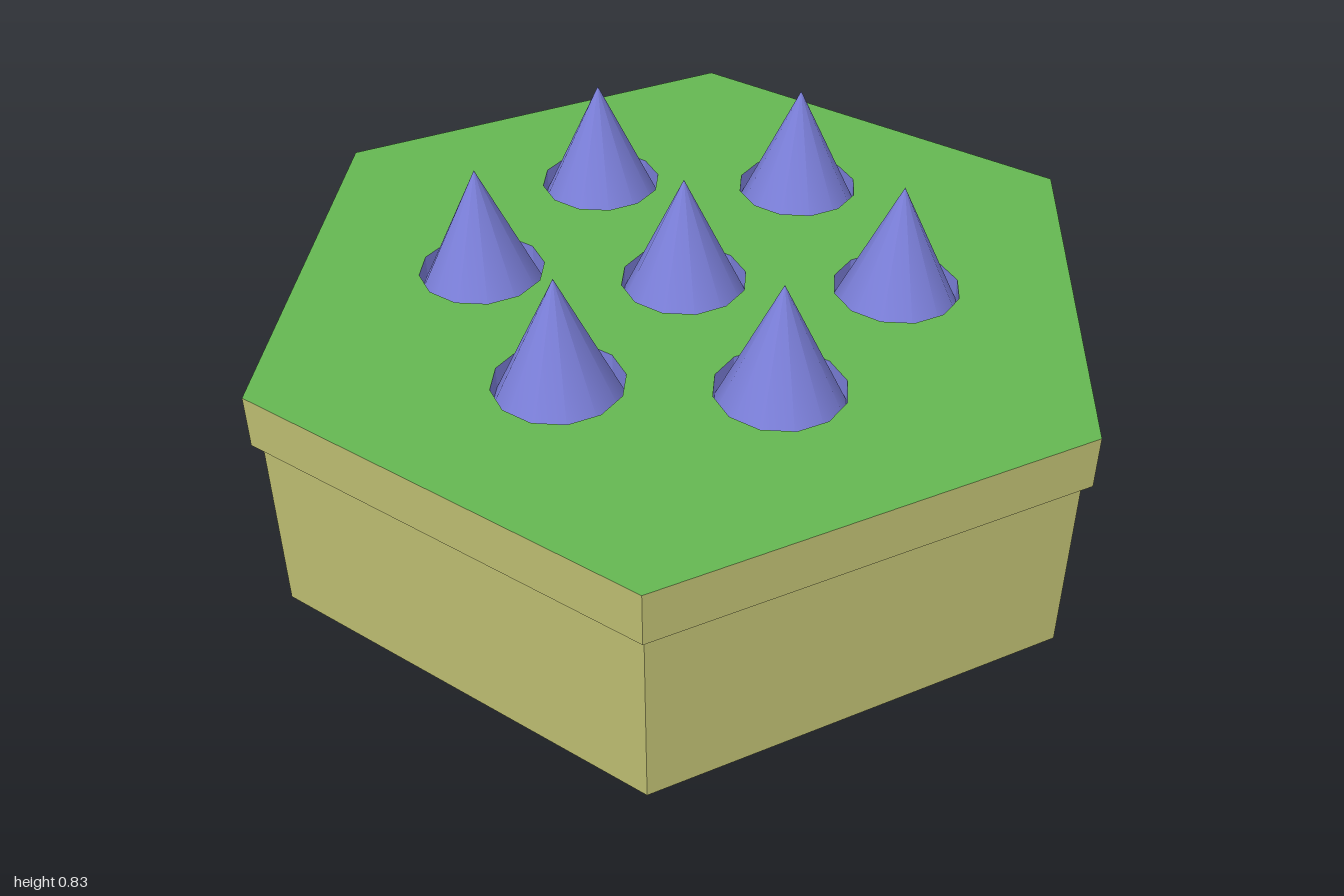
import * as THREE from 'three';

const TOP = 0.575, LEDGE = 0.45, SOCKET = 0.525;
const RIM_R = 1, WALL_R = 0.977, SPIKE_R = 0.142, TIP = 0.832;
const SPIKES = [[0, -0.49], [-0.41, -0.24], [0.41, -0.24], [0, 0], [-0.4, 0.225], [0.39, 0.22], [0, 0.46]];

const material = (color, flatShading = false) =>
  new THREE.MeshStandardMaterial({ color, flatShading, side: THREE.DoubleSide });

function polygon(n, r, cx = 0, cy = 0, start = 0) {
  return Array.from({ length: n }, (_, i) => {
    const a = start + (i / n) * Math.PI * 2;
    return new THREE.Vector2(cx + r * Math.cos(a), cy + r * Math.sin(a));
  });
}

// one flat strip of side i of the hexagon, from (r0, y0) down to (r1, y1)
function sidePanel(i, r0, y0, r1, y1) {
  const at = (k, r, y) => {
    const a = (k * Math.PI) / 3;
    return [r * Math.cos(a), y, r * Math.sin(a)];
  };
  const g = new THREE.BufferGeometry();
  g.setAttribute('position', new THREE.Float32BufferAttribute(
    [at(i, r0, y0), at(i + 1, r0, y0), at(i + 1, r1, y1), at(i, r1, y1)].flat(), 3));
  g.setIndex([0, 1, 2, 0, 2, 3]);
  g.computeVertexNormals();
  return g;
}

export function createModel() {
  const model = new THREE.Group();
  model.name = 'spikedHexTile';
  const olive = material(0xbbbb70, true);
  const grey = material(0xcccccc, true);
  const green = material(0x65b752, true);
  const blue = material(0x7c80db);
  const blueFlat = material(0x7c80db, true);

  const add = (parent, name, geometry, mat) => {
    const mesh = new THREE.Mesh(geometry, mat);
    mesh.name = name;
    parent.add(mesh);
    return mesh;
  };

  // hexagonal rim, ledge and walls; one wall is left grey
  for (let i = 0; i < 6; i++) {
    add(model, 'rim', sidePanel(i, RIM_R, TOP, RIM_R, LEDGE), olive);
    add(model, 'ledge', sidePanel(i, RIM_R, LEDGE, WALL_R, LEDGE), olive);
    add(model, 'wall', sidePanel(i, WALL_R, LEDGE, WALL_R, 0), i === 5 ? grey : olive);
  }

  // thin top with a hole for each spike
  const shape = new THREE.Shape(polygon(6, RIM_R));
  for (const [x, z] of SPIKES) {
    shape.holes.push(new THREE.Path(polygon(12, SPIKE_R, x, -z, Math.PI / 12).reverse()));
  }
  const top = new THREE.ShapeGeometry(shape).rotateX(-Math.PI / 2).translate(0, TOP, 0);
  add(model, 'grassTop', top, green);

  // sunken sockets with a cone rising from each
  const socketH = TOP - SOCKET, coneH = TIP - SOCKET;
  const socketGeo = new THREE.CylinderGeometry(SPIKE_R, SPIKE_R, socketH, 12, 1, true, Math.PI / 12)
    .translate(0, SOCKET + socketH / 2, 0);
  const coneGeo = new THREE.ConeGeometry(SPIKE_R, coneH, 12, 1, true, Math.PI / 12)
    .translate(0, SOCKET + coneH / 2, 0);
  for (const [x, z] of SPIKES) {
    const spike = new THREE.Group();
    spike.name = 'spike';
    add(spike, 'socket', socketGeo, blueFlat);
    add(spike, 'cone', coneGeo, blue);
    spike.position.set(x, 0, z);
    model.add(spike);
  }
  return model;
}
